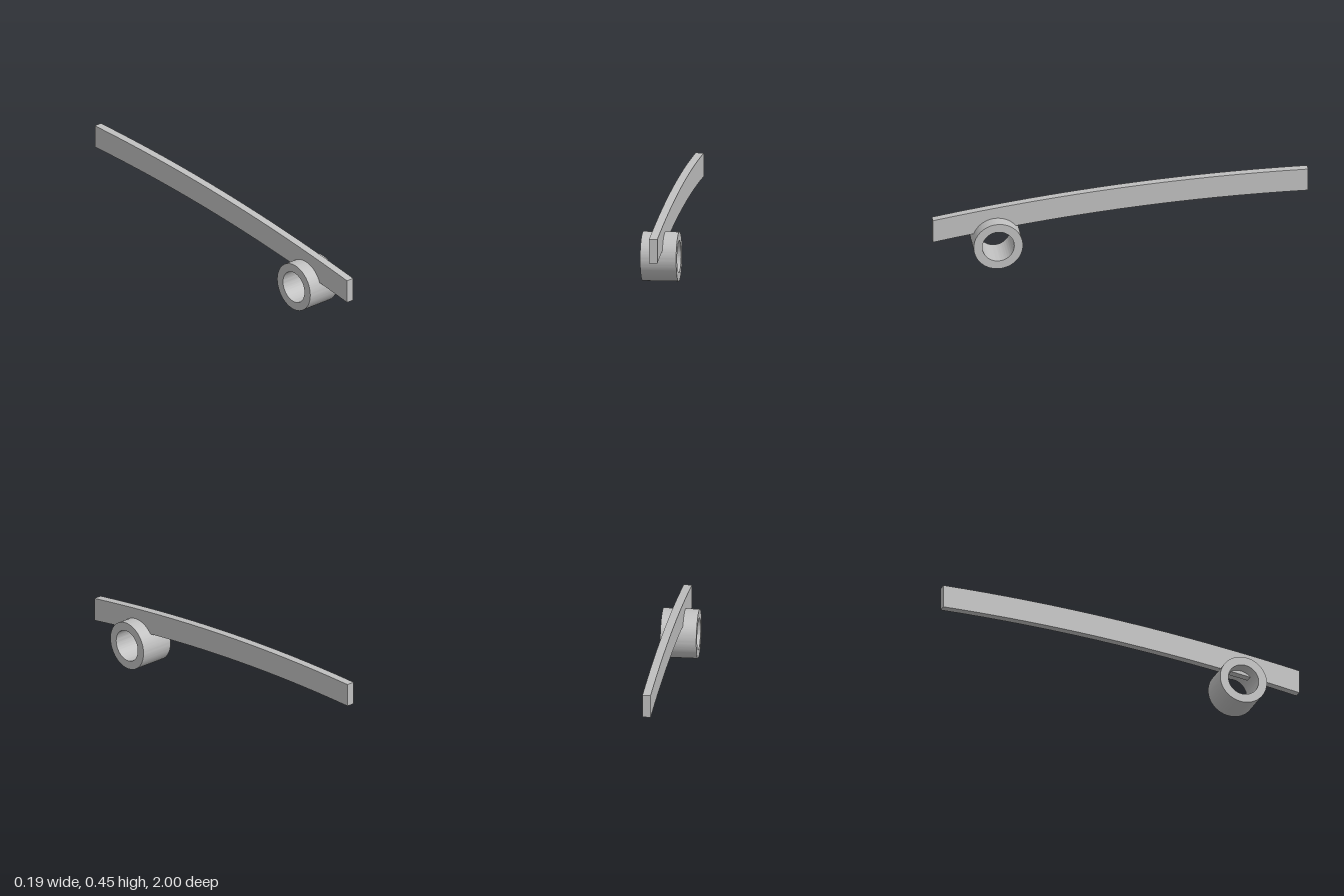
import * as THREE from 'three';
import { toCreasedNormals } from 'three/addons/utils/BufferGeometryUtils.js';

// Extrude a side profile (shape x = model z, shape y = model y) across the width.
function extrudeAcross(shape, width, curveSegments = 12) {
  const geometry = new THREE.ExtrudeGeometry(shape, { depth: width, bevelEnabled: false, curveSegments });
  geometry.translate(0, 0, -width / 2);
  geometry.rotateY(-Math.PI / 2);
  return toCreasedNormals(geometry, Math.PI / 6);
}

export function createModel() {
  const group = new THREE.Group();
  const greyMetal = new THREE.MeshStandardMaterial({ color: 0xc0c0c0 });
  greyMetal.name = 'greyMetal';

  // Gently curved lever arm with vertical ends
  const topEdge = (z) => 0.402 - 0.092 * z - 0.042 * z * z;
  const bottomEdge = (z) => 0.278 - 0.0935 * z - 0.0445 * z * z;
  const segments = 16;
  const points = [];
  for (let i = 0; i <= segments; i++) {
    const z = -1 + (2 * i) / segments;
    points.push(new THREE.Vector2(z, bottomEdge(z)));
  }
  for (let i = segments; i >= 0; i--) {
    const z = -1 + (2 * i) / segments;
    points.push(new THREE.Vector2(z, topEdge(z)));
  }
  const arm = new THREE.Mesh(extrudeAcross(new THREE.Shape(points), 0.044), greyMetal);
  arm.name = 'leverArm';
  group.add(arm);

  // Hollow pivot sleeve under the front of the arm
  const ring = new THREE.Shape().absarc(0, 0, 0.131, 0, Math.PI * 2, false);
  ring.holes.push(new THREE.Path().absarc(0, 0, 0.085, 0, Math.PI * 2, true));
  const sleeve = new THREE.Mesh(extrudeAcross(ring, 0.192, 64), greyMetal);
  sleeve.name = 'pivotSleeve';
  sleeve.position.set(0, 0.131, 0.66);
  group.add(sleeve);

  return group;
}
